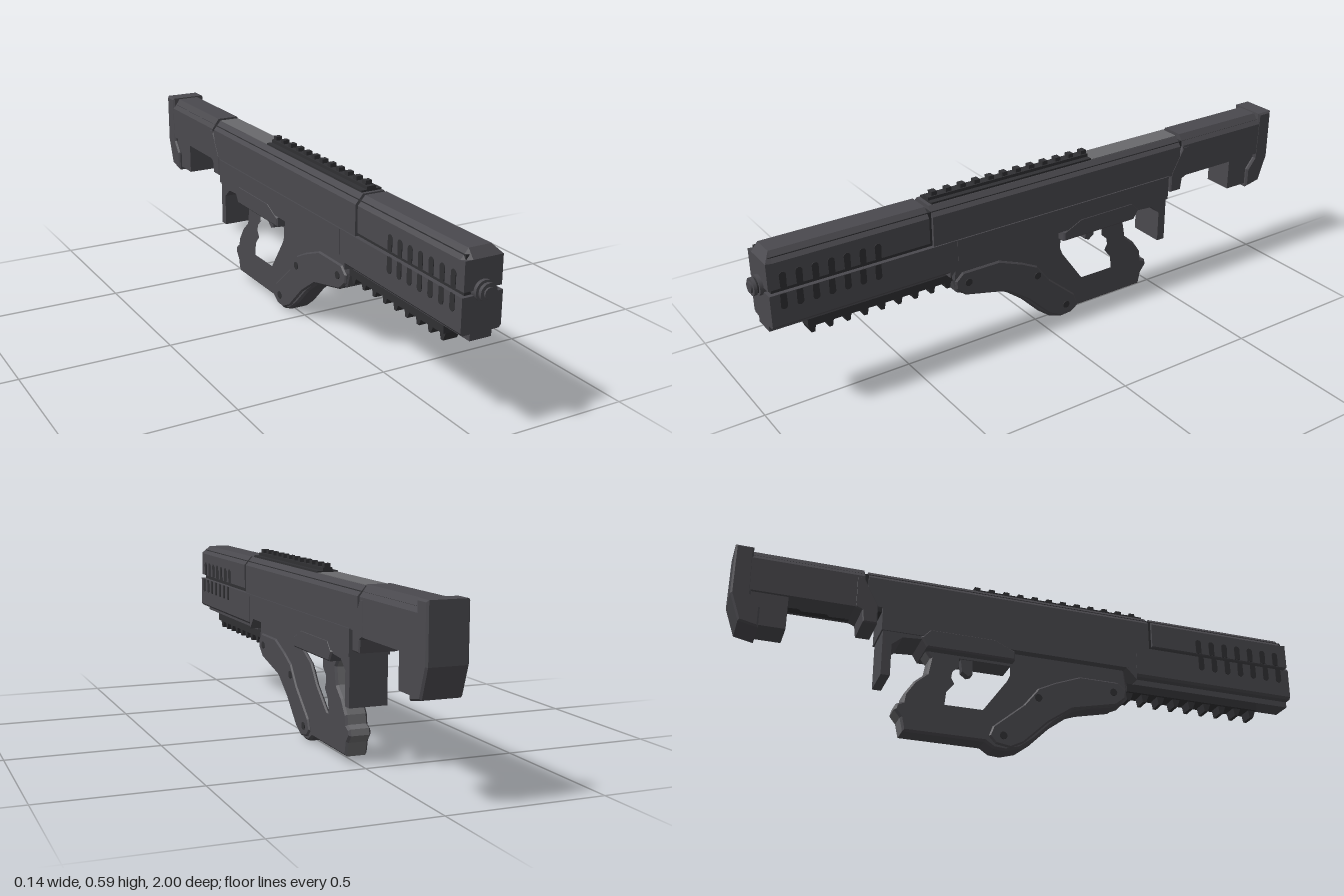
import * as THREE from 'three';

const mat = (name, color) => Object.assign(new THREE.MeshStandardMaterial({ color }), { name });

export function createModel() {
  const body = mat('gunmetal', 0x4a494e);
  const dark = mat('dark rail', 0x303033);
  const light = mat('grey panel', 0x69696c);
  const root = new THREE.Group();

  const add = (name, geo, material = body) => {
    const mesh = new THREE.Mesh(geo, material);
    mesh.name = name;
    root.add(mesh);
    return mesh;
  };
  const shapeOf = (pts) => new THREE.Shape(pts.map(([a, b]) => new THREE.Vector2(a, b)));

  // Side profile in (z, y), given thickness across x
  const profile = (shape, half, bevel = 0, x = 0) => {
    const geo = new THREE.ExtrudeGeometry(shape, {
      depth: 2 * (half - bevel), bevelEnabled: bevel > 0, bevelSize: bevel,
      bevelThickness: bevel, bevelOffset: -bevel, bevelSegments: 1, curveSegments: 6,
    });
    return geo.translate(0, 0, bevel - half).rotateY(-Math.PI / 2).translate(x, 0, 0);
  };
  // Half cross-section in (x, y), mirrored and run from z0 to z1
  const bar = (half, z0, z1) => {
    const pts = [...half, ...half.slice().reverse().map(([x, y]) => [-x, y])];
    return new THREE.ExtrudeGeometry(shapeOf(pts), { depth: z1 - z0, bevelEnabled: false })
      .translate(0, 0, z0);
  };
  const box = (half, y0, y1, z0, z1) =>
    new THREE.BoxGeometry(2 * half, y1 - y0, z1 - z0).translate(0, (y0 + y1) / 2, (z0 + z1) / 2);
  const roofed = (y0, top = 0.565) => [[0.0625, y0], [0.0625, 0.535], [0.037, top]];

  // Front shroud, its nose sloped down at the top
  const shroud = bar(roofed(0.45), 0.435, 0.945);
  add('frontShroud', shroud);
  const nose = bar(roofed(0.45), 0.945, 0.967);
  const p = nose.attributes.position;
  for (let i = 0; i < p.count; i++) {
    if (p.getZ(i) > 0.96 && p.getY(i) > 0.53) p.setY(i, 0.538);
  }
  nose.computeVertexNormals();
  add('shroudNose', nose);

  // Receiver, with an inner core showing through the grooves
  add('innerCore', box(0.052, 0.42, 0.55, -0.95, 0.955), dark);
  add('receiver', bar(roofed(0.432), -0.57, 0.422));
  add('receiverTopPanel', box(0.035, 0.56, 0.567, -0.57, -0.2), light);
  add('lowerReceiver', box(0.067, 0.35, 0.435, -0.52, 0.34));
  add('foreEnd', bar([[0.036, 0.305], [0.036, 0.325], [0.06, 0.325], [0.067, 0.333],
    [0.067, 0.435]], 0.37, 0.967));
  add('foreEndSlope', profile(shapeOf([[0.37, 0.435], [0.37, 0.31], [0.33, 0.352], [0.33, 0.435]]), 0.066));

  // Barrel tip
  const ring = (name, r, z0, z1, m = body, n = 16) =>
    add(name, new THREE.CylinderGeometry(r, r, z1 - z0, n).rotateX(Math.PI / 2)
      .translate(0, 0.447, (z0 + z1) / 2), m);
  ring('barrelCollar', 0.032, 0.95, 0.978);
  ring('barrelNeck', 0.024, 0.97, 0.985, dark);
  ring('barrelRing', 0.028, 0.984, 0.994);
  ring('barrelTip', 0.018, 0.99, 1.0, body, 12);

  // Vent slots in two rows on both sides
  const slot = new THREE.Shape();
  slot.moveTo(-0.01, -0.026);
  slot.lineTo(0.01, -0.026);
  slot.absarc(0, 0.014, 0.011, 0, Math.PI);
  for (const side of [-1, 1]) {
    for (let i = 0; i < 7; i++) {
      const z = 0.925 - i * 0.051;
      const upper = profile(slot, 0.002);
      add('upperVent', upper, dark).position.set(side * 0.0625, 0.477, z - 0.005);
      const lower = profile(slot, 0.002).rotateX(Math.PI);
      add('lowerVent', lower, dark).position.set(side * 0.067, 0.409, z);
    }
  }

  // Top sighting rail
  add('topRailBase', box(0.035, 0.56, 0.571, -0.2, 0.41), dark);
  add('topRail', box(0.016, 0.57, 0.581, -0.2, 0.41), dark);
  for (let i = 0; i < 12; i++) {
    const z = 0.385 - i * 0.052;
    add('topRailTooth', box(0.011, 0.58, 0.594, z - 0.01, z + 0.01), dark);
  }

  // Underside rail with saw-like teeth
  add('lowerRail', box(0.033, 0.277, 0.306, 0.345, 0.845), dark);
  for (let i = 0; i < 9; i++) {
    const z = 0.845 - i * 0.059;
    add('lowerRailTooth', profile(shapeOf([[z, 0.28], [z - 0.012, 0.25], [z - 0.024, 0.25],
      [z - 0.03, 0.28]]), 0.024), dark);
  }

  // Grip frame with finger opening; inner and rear walls are grey
  const frame = shapeOf([[0.335, 0.36], [0.345, 0.28], [0.33, 0.23], [0.28, 0.207], [0.2, 0.192],
    [0.14, 0.17], [0.08, 0.125], [0.01, 0.055], [-0.04, 0.017], [-0.09, 0.002], [-0.13, 0.005],
    [-0.16, 0.025], [-0.43, 0.025], [-0.44, 0.07], [-0.46, 0.095], [-0.455, 0.115], [-0.435, 0.125],
    [-0.43, 0.155], [-0.4, 0.2], [-0.36, 0.235], [-0.35, 0.29], [-0.38, 0.33], [-0.38, 0.36]]);
  frame.holes.push(new THREE.Path([[-0.07, 0.31], [-0.07, 0.27], [-0.08, 0.245], [-0.165, 0.125],
    [-0.305, 0.125], [-0.3, 0.18], [-0.275, 0.21], [-0.285, 0.228], [-0.282, 0.255], [-0.26, 0.275],
    [-0.26, 0.31]].map(([a, b]) => new THREE.Vector2(a, b))));
  const gripGeo = profile(frame, 0.037, 0.007);
  const gp = gripGeo.attributes.position, gn = gripGeo.attributes.normal;
  gripGeo.clearGroups();
  for (let i = 0; i < gp.count; i += 3) {
    const z = (gp.getZ(i) + gp.getZ(i + 1) + gp.getZ(i + 2)) / 3;
    const y = (gp.getY(i) + gp.getY(i + 1) + gp.getY(i + 2)) / 3;
    const isGrey = Math.abs(gn.getX(i)) < 0.5 && z < -0.06 && y > 0.035;
    gripGeo.addGroup(i, 3, isGrey ? 1 : 0);
  }
  add('gripFrame', gripGeo, [body, light]);

  // Raised side pads and their bolts
  const pad = shapeOf([[0.338, 0.275], [0.31, 0.3], [0.17, 0.3], [0.08, 0.265], [0.02, 0.235],
    [-0.03, 0.17], [-0.135, 0.08], [-0.148, 0.045], [-0.125, 0.02], [-0.075, 0.012], [-0.03, 0.035],
    [0.055, 0.118], [0.14, 0.178], [0.3, 0.215], [0.335, 0.245]]);
  for (const side of [-1, 1]) {
    add('sidePad', profile(pad, 0.006, 0.005, side * 0.0375));
    for (const [z, y] of [[0.29, 0.26], [0.02, 0.2], [-0.1, 0.05]]) {
      add('padBolt', new THREE.CylinderGeometry(0.013, 0.013, 0.006, 12).rotateZ(Math.PI / 2)
        .translate(side * 0.043, y, z), dark);
    }
  }

  // Trigger, its housing and the guard plate behind the grip
  add('trigger', profile(shapeOf([[-0.2, 0.32], [-0.2, 0.262], [-0.215, 0.256], [-0.235, 0.27],
    [-0.242, 0.32]]), 0.014));
  add('triggerHousing', profile(shapeOf([[-0.07, 0.345], [-0.14, 0.378], [-0.36, 0.378], [-0.39, 0.345],
    [-0.37, 0.312], [-0.07, 0.312]]), 0.0685, 0.005));
  add('rearPlate', profile(shapeOf([[-0.38, 0.36], [-0.38, 0.34], [-0.45, 0.335], [-0.485, 0.305],
    [-0.485, 0.195], [-0.515, 0.195], [-0.515, 0.36]]), 0.0625));

  // Shoulder stock
  add('stockCollar', profile(shapeOf([[-0.535, 0.37], [-0.535, 0.44], [-0.585, 0.53], [-0.61, 0.53],
    [-0.61, 0.42], [-0.587, 0.41], [-0.582, 0.37]]), 0.0635, 0.004));
  add('stock', bar(roofed(0.42, 0.57), -0.95, -0.583));
  add('stockLeg', box(0.052, 0.307, 0.43, -0.94, -0.82));
  add('buttPlate', profile(shapeOf([[-0.942, 0.574], [-1, 0.574], [-1, 0.4], [-0.968, 0.308],
    [-0.905, 0.295], [-0.905, 0.365], [-0.937, 0.405]]), 0.0635, 0.006));

  return root;
}
